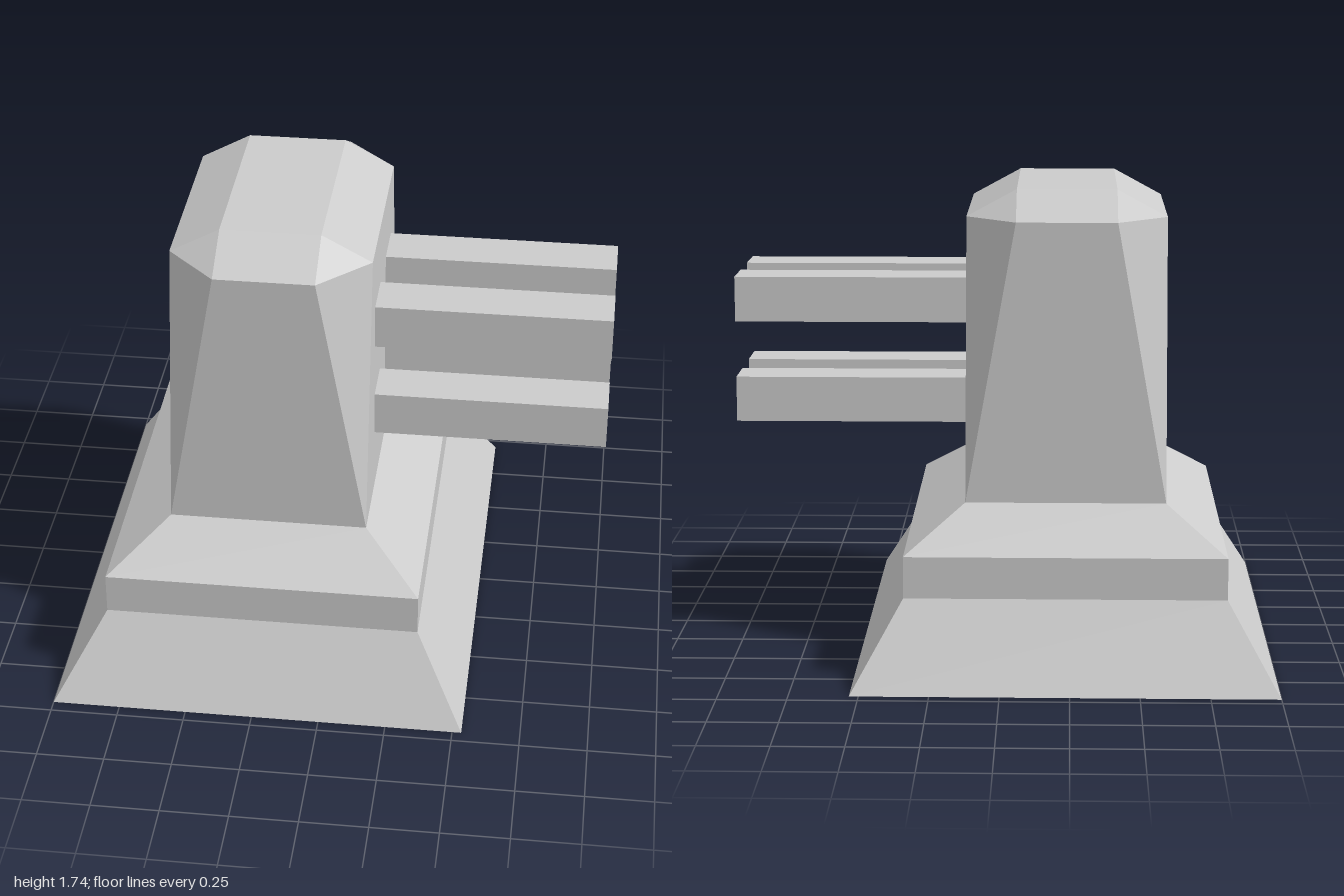
import * as THREE from 'three';

const CX = -0.233; // centre line of the tower and base
const material = new THREE.MeshStandardMaterial({
  color: 0xcccccc, flatShading: true, side: THREE.DoubleSide,
});

// Rectangle with corners cut by c, counter-clockwise seen from above
function ring([y, hx, hz, c]) {
  return [
    [hx, hz - c], [hx, c - hz], [hx - c, -hz], [c - hx, -hz],
    [-hx, c - hz], [-hx, hz - c], [c - hx, hz], [hx - c, hz],
  ].map(([x, z]) => new THREE.Vector3(x + CX, y, z));
}

// Joins sections [y, half width, half depth, corner cut] from bottom to top
function loft(sections, capped) {
  const positions = [];
  const tri = (a, b, c) => {
    const area = b.clone().sub(a).cross(c.clone().sub(a)).length();
    if (area > 1e-6) for (const p of [a, b, c]) positions.push(p.x, p.y, p.z);
  };
  const rings = sections.map(ring);
  for (let r = 0; r + 1 < rings.length; r++) {
    const lo = rings[r], hi = rings[r + 1];
    for (let i = 0; i < 8; i++) {
      const j = (i + 1) % 8;
      tri(lo[i], lo[j], hi[j]);
      tri(lo[i], hi[j], hi[i]);
    }
  }
  if (capped) {
    const top = rings[rings.length - 1];
    for (let i = 1; i < 7; i++) tri(top[0], top[i], top[i + 1]);
  }
  const geometry = new THREE.BufferGeometry();
  geometry.setAttribute('position', new THREE.Float32BufferAttribute(positions, 3));
  geometry.computeVertexNormals();
  return geometry;
}

export function createModel() {
  const group = new THREE.Group();
  const add = (name, geometry, x = 0, y = 0, z = 0) => {
    const mesh = new THREE.Mesh(geometry, material);
    mesh.name = name;
    mesh.position.set(x, y, z);
    group.add(mesh);
  };

  // Hollow stepped base, open underneath
  add('base', loft([
    [0, 0.767, 0.953, 0],
    [0.31, 0.583, 0.768, 0],
    [0.463, 0.583, 0.768, 0],
    [0.615, 0.367, 0.555, 0],
  ], false));

  // Floor strips inside the base, front and back
  for (const side of [1, -1]) {
    const strip = new THREE.PlaneGeometry(1.166, 0.36).rotateX(Math.PI / 2);
    add('floorStrip', strip, CX, 0.31, side * 0.588);
  }

  // Tower whose corner cuts widen upwards, closed by a bevelled roof
  add('tower', loft([
    [0.615, 0.367, 0.555, 0],
    [1.643, 0.367, 0.555, 0.184],
    [1.743, 0.183, 0.371, 0],
  ], true));

  // Four square barrels on the left side
  for (const y of [0.943, 1.32]) {
    for (const z of [-0.187, 0.187]) {
      add('barrel', new THREE.BoxGeometry(0.866, 0.168, 0.184), 0.567, y, z);
    }
  }
  return group;
}
